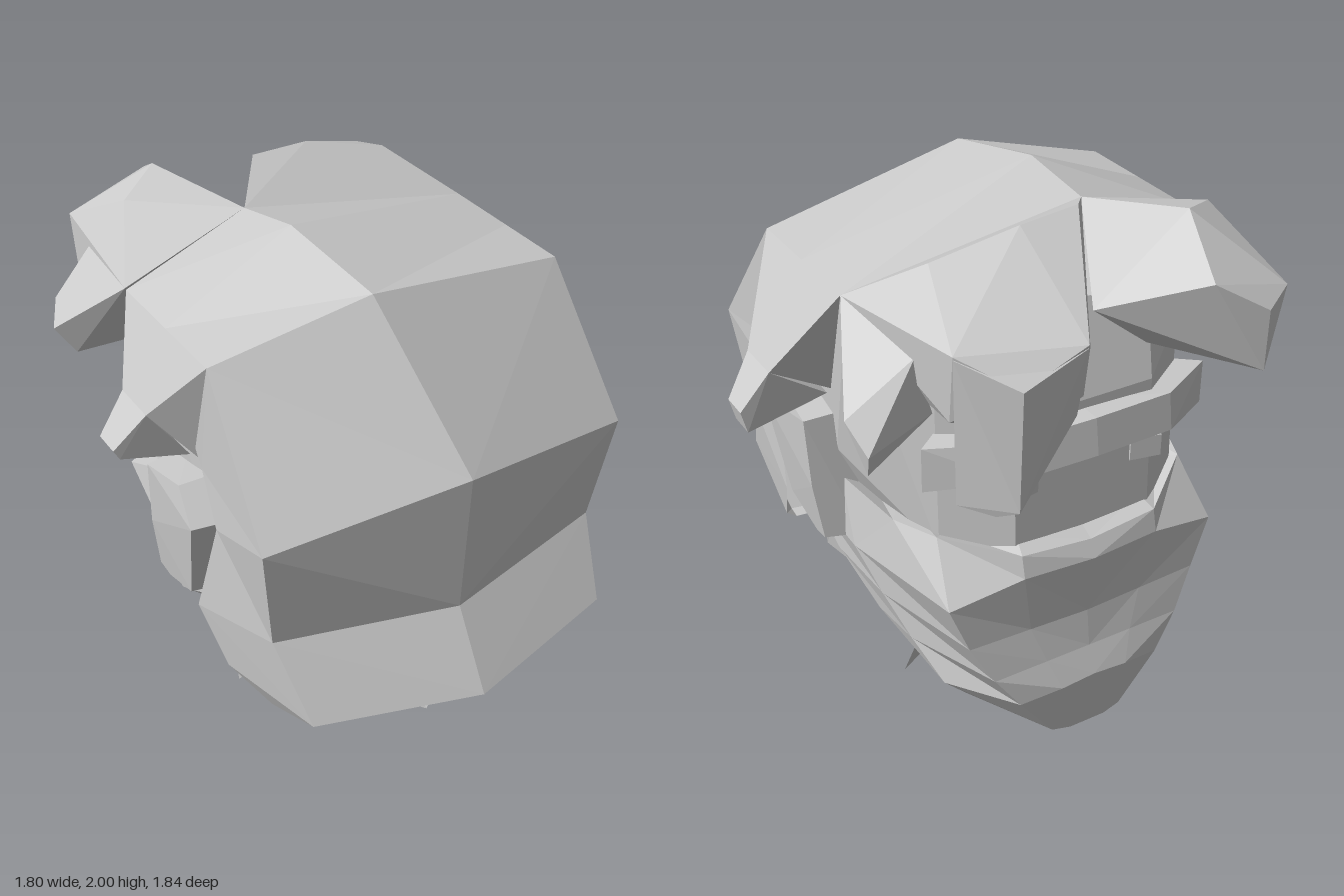
import * as THREE from 'three';
import { ConvexGeometry } from 'three/addons/geometries/ConvexGeometry.js';

const grey = new THREE.MeshStandardMaterial({ color: 0xcccccc, side: THREE.DoubleSide });
grey.name = 'plainGrey';

const vec = (p) => new THREE.Vector3(...p);
const flip = ([x, y, z]) => [-x, y, z];
const mirror = (pts) => pts.concat(pts.map(flip));

// faceted solid around a handful of corners
function solid(name, pts) {
  const mesh = new THREE.Mesh(new ConvexGeometry(pts.map(vec)), grey);
  mesh.name = name;
  return mesh;
}

// faceted open sheet from triangles
function sheet(name, tris) {
  const geo = new THREE.BufferGeometry().setFromPoints(tris.flat().map(vec));
  geo.computeVertexNormals();
  const mesh = new THREE.Mesh(geo, grey);
  mesh.name = name;
  return mesh;
}

// skin through rows of points; each row runs from one side to the middle and is mirrored
function loft(name, halfRows) {
  const rows = halfRows.map((h) => [...h, ...h.slice(0, -1).reverse().map(flip)]);
  const tris = [];
  for (let i = 0; i < rows.length - 1; i++) {
    for (let j = 0; j < rows[i].length - 1; j++) {
      const a = rows[i][j], b = rows[i][j + 1], c = rows[i + 1][j + 1], d = rows[i + 1][j];
      // diagonals mirror each other
      if (j < halfRows[i].length - 1) tris.push([a, d, c], [a, c, b]);
      else tris.push([a, d, b], [b, d, c]);
    }
  }
  return sheet(name, tris);
}

export function createModel() {
  const model = new THREE.Group();
  model.name = 'head';
  const sym = new THREE.Group(); // mirrored parts share a slightly shifted centre
  sym.name = 'symmetricParts';
  sym.position.x = -0.03;
  model.add(sym);

  // skull and flat face
  sym.add(solid('face', mirror([
    [0.6, 1.68, 0.3], [0.63, 1.74, -0.22], [0.6, 0.95, 0.3], [0.61, 1.1, -0.05],
    [0.54, 1.38, -0.33], [0.53, 1.1, -0.32], [0.5, 0.93, -0.05], [0.47, 0.9, -0.36],
    [0.3, 1.7, -0.5], [0.46, 1.5, -0.46], [0.46, 0.9, -0.48], [0.26, 1.4, -0.61],
    [0.26, 0.88, -0.63], [0.4, 0.58, 0.34],
  ])));

  // back hair shell: inner rim, outer edge and centre of each row
  sym.add(loft('backHair', [
    [[0.62, 1.7, -0.2], [0.65, 1.77, -0.23], [-0.19, 1.92, -0.27]],
    [[0.64, 1.6, 0.05], [0.65, 1.77, 0.05], [-0.17, 1.97, 0]],
    [[0.64, 1.34, 0.22], [0.65, 1.77, 0.32], [-0.12, 1.9, 0.4]],
    [[0.66, 1.18, 0.34], [0.68, 1.31, 0.68], [0, 1.4, 0.79]],
    [[0.69, 0.8, 0.23], [0.63, 0.91, 0.63], [0, 0.87, 0.76]],
    [[0.65, 0.6, 0.35], [0.58, 0.65, 0.79], [0, 0.6, 0.92]],
    [[0.6, 0.55, 0.38], [0.57, 0.5, 0.5], [0, 0.36, 0.52]],
    [[0.5, 0.6, 0.3], [0.4, 0.58, 0.36], [0, 0.52, 0.36]],
  ]));

  // beard: each row runs from the throat, under and round the jaw, to the middle of the mouth
  const throat = [0, 0.3, -0.24];
  const chin = [0, 0, -0.2];
  sym.add(loft('beard', [
    [[0.5, 0.9, 0.1], [0.48, 0.92, 0], [0.46, 0.94, -0.2], [0.42, 0.94, -0.45], [0.24, 0.95, -0.6], [0, 0.93, -0.62]],
    [[0.55, 0.9, 0.1], [0.6, 0.99, -0.05], [0.55, 0.96, -0.33], [0.48, 0.97, -0.5], [0.26, 0.92, -0.67], [0, 0.9, -0.68]],
    [[0.52, 0.73, 0.26], [0.62, 0.79, 0.2], [0.61, 0.76, -0.15], [0.52, 0.78, -0.65], [0.26, 0.84, -0.69], [0, 0.84, -0.71]],
    [[0.48, 0.6, 0.12], [0.6, 0.65, 0], [0.57, 0.62, -0.27], [0.45, 0.6, -0.66], [0.22, 0.6, -0.67], [0, 0.6, -0.68]],
    [[0.42, 0.46, -0.06], [0.55, 0.5, -0.2], [0.52, 0.48, -0.38], [0.37, 0.45, -0.69], [0.17, 0.46, -0.7], [0, 0.46, -0.7]],
    [[0.36, 0.34, -0.2], [0.47, 0.36, -0.4], [0.46, 0.34, -0.5], [0.28, 0.32, -0.71], [0.13, 0.35, -0.74], [0, 0.36, -0.74]],
    [[0.34, 0.3, -0.26], [0.38, 0.27, -0.38], [0.36, 0.23, -0.48], [0.14, 0.13, -0.7], [0.07, 0.12, -0.71], [0, 0.12, -0.71]],
    Array(6).fill(chin),
  ].map((row) => [throat, ...row])));

  for (const s of [1, -1]) {
    const side = (pts) => pts.map(([x, y, z]) => [s * x, y, z]);

    // ear
    const outline = [[0.29, 1.17], [0.19, 1.28], [-0.03, 1.23], [-0.05, 0.98], [-0.07, 0.77], [0, 0.76], [0.18, 0.82]];
    sym.add(solid('ear', side(outline.flatMap(([z, y]) => [
      [0.73 - Math.abs(y - 1.13) * 0.13, y, z],
      [0.55, 1.02 + (y - 1.02) * 1.05, 0.08 + (z - 0.08) * 1.18],
    ]))));

    // flared tuft above the ear; the two sides differ a little
    const up = s > 0 ? 0 : 0.07, out = s > 0 ? 0.93 : 0.87;
    const bend = [[out - 0.1, 1.46 + up, 0.12], [out - 0.1, 1.46 + up, -0.05]];
    sym.add(solid('templeHair', side([
      [0.65, 1.77, 0.32], [0.65, 1.77, -0.23], ...bend, [0.62, 1.34, 0.18], [0.62, 1.34, -0.05],
    ])));
    sym.add(solid('templeTuft', side([
      ...bend, [out, 1.33 + up, -0.03], [out, 1.33 + up, 0.07],
      [out - 0.02, 1.25 + up * 1.6, -0.03], [out - 0.02, 1.25 + up * 1.6, 0.07],
      [0.63, 1.33, 0.12], [0.63, 1.32, -0.04],
    ])));

    // eye
    const eye = new THREE.Mesh(new THREE.BoxGeometry(0.11, 0.08, 0.08), grey);
    eye.name = 'eye';
    eye.position.set(s * 0.24, 1.16, -0.6);
    eye.rotation.y = s * 0.2;
    sym.add(eye);

    // half of the bent brow bar
    sym.add(solid('brow', side([
      [0, 1.37, -0.68], [0, 1.24, -0.7], [0, 1.37, -0.55], [0, 1.22, -0.55],
      [0.3, 1.36, -0.66], [0.3, 1.23, -0.68], [0.54, 1.34, -0.52], [0.54, 1.18, -0.52],
      [0.44, 1.34, -0.44], [0.44, 1.18, -0.44],
    ])));

    // pointed neck cloth
    sym.add(sheet('collar', [
      side([[0.48, 0.66, 0.25], [0.46, 0.34, 0.43], [0.33, 0.32, -0.22]]),
      side([[0.48, 0.66, 0.25], [0.5, 0.56, 0.38], [0.46, 0.34, 0.43]]),
      side([[0, 0.26, 0.6], [0.42, 0.5, 0.4], [0, 0.45, 0.38]]),
      side([[0.4, 0.05, -0.08], [0.38, 0.33, -0.2], [0, 0.27, -0.02]]),
      side([[0.38, 0.33, -0.2], [0.4, 0.5, 0.3], [0, 0.27, -0.02]]),
    ]));
  }

  // swept fringe: large lump on the left side of the model
  model.add(solid('fringeLeft', [
    [-0.22, 1.92, -0.27], [-0.08, 2, -0.46], [0.14, 1.99, -0.48], [0.43, 1.92, -0.44],
    [0.62, 1.77, -0.23], [0.15, 1.78, -0.88], [0.38, 1.7, -0.89], [0.53, 1.79, -0.76],
    [0.15, 1.6, -0.86], [0.3, 1.55, -0.86], [0.52, 1.55, -0.72], [0.5, 1.52, -0.48],
    [-0.05, 1.58, -0.6],
  ]));
  model.add(solid('fringeTip', [
    [0.15, 1.77, -0.88], [0.38, 1.7, -0.9], [0.53, 1.78, -0.76], [0.17, 1.54, -0.86],
    [0.38, 1.28, -0.89], [0.42, 1.24, -0.82], [0.5, 1.25, -0.72], [0.4, 1.5, -0.65],
  ]));
  model.add(solid('fringeSideTuft', [
    [0.62, 1.77, -0.23], [0.55, 1.7, -0.57], [0.75, 1.46, -0.65], [0.78, 1.55, -0.56],
    [0.74, 1.38, -0.62], [0.72, 1.38, -0.54], [0.56, 1.52, -0.42], [0.5, 1.5, -0.58],
  ]));

  // rounder lump on the right side of the model
  model.add(solid('fringeRight', [
    [-0.22, 1.92, -0.27], [-0.68, 1.77, -0.24], [-0.54, 1.93, -0.51], [-0.38, 1.98, -0.62],
    [-0.3, 1.85, -0.87], [-0.48, 1.74, -0.92], [-0.61, 1.76, -0.84], [-0.48, 1.53, -0.92],
    [-0.62, 1.55, -0.78], [-0.04, 1.72, -0.62], [-0.25, 1.55, -0.62], [-0.5, 1.48, -0.55],
  ]));
  model.add(solid('fringeRightTuft', [
    [-0.68, 1.77, -0.24], [-0.6, 1.78, -0.62], [-0.77, 1.57, -0.64], [-0.83, 1.52, -0.53],
    [-0.72, 1.42, -0.62], [-0.76, 1.41, -0.52], [-0.6, 1.48, -0.4], [-0.55, 1.5, -0.6],
  ]));

  return model;
}
